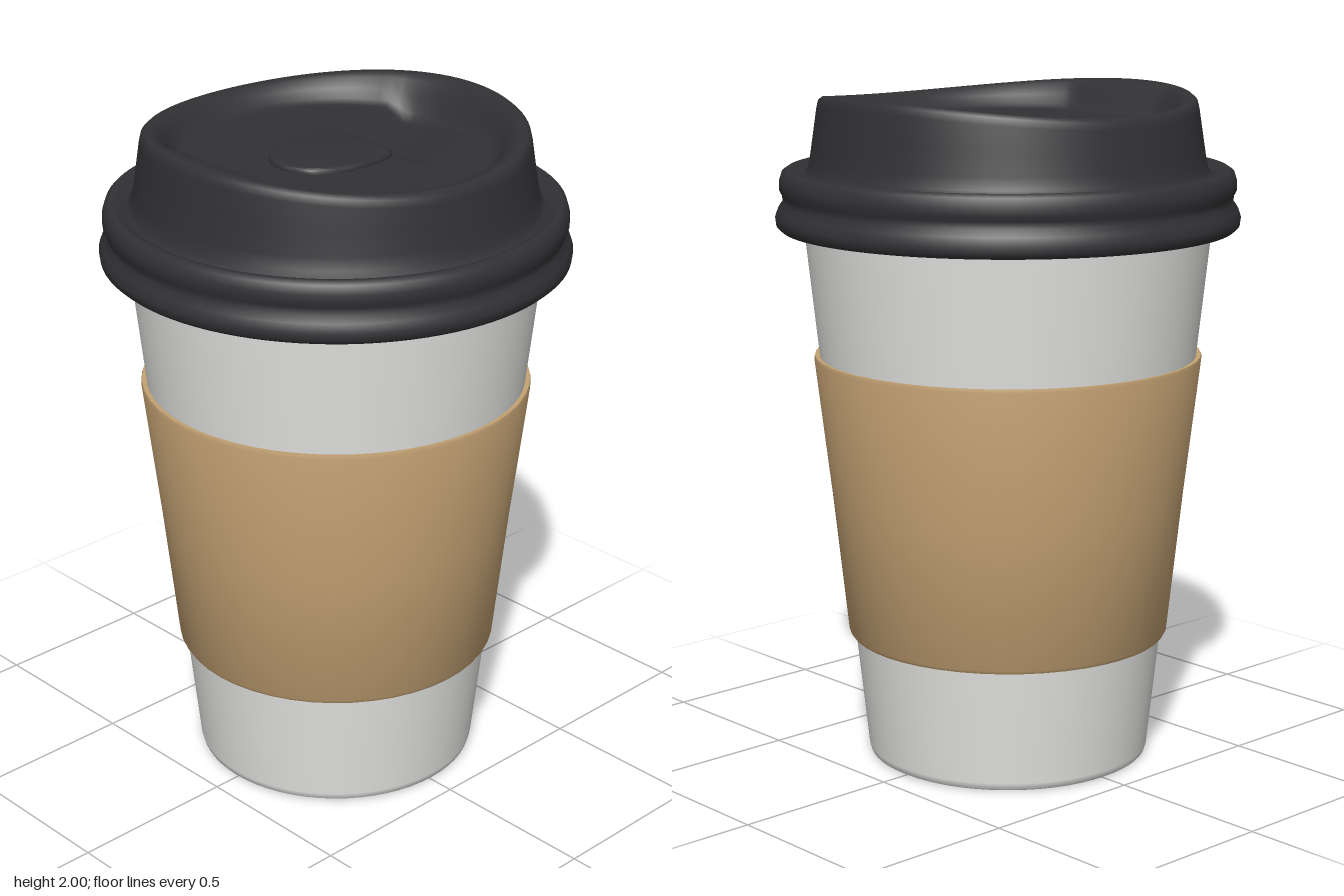
import * as THREE from 'three';
import { mergeVertices, toCreasedNormals } from 'three/addons/utils/BufferGeometryUtils.js';

const paper = new THREE.MeshStandardMaterial({ color: 0xe6e6e4 });
paper.name = 'white paper';
const card = new THREE.MeshStandardMaterial({ color: 0xc6a475 });
card.name = 'tan cardboard';
const plastic = new THREE.MeshStandardMaterial({ color: 0x323235 });
plastic.name = 'dark plastic';

const smooth = THREE.MathUtils.smoothstep;

function lathe(points, segments) {
  return new THREE.LatheGeometry(points.map(([r, y]) => new THREE.Vector2(r, y)), segments);
}

function addMesh(group, name, geometry, material) {
  const mesh = new THREE.Mesh(geometry, material);
  mesh.name = name;
  group.add(mesh);
  return mesh;
}

// Rim of the lid rises towards both x sides
const rimLift = (x) => 0.043 * Math.min(1, (x / 0.54) ** 2);

// Height of the lid's top inside the rim
function lidTop(x, z) {
  const r = Math.hypot(x, z);
  const cos = r > 0 ? x / r : 0;
  // recess is round, with a straight chord on the drinking side (-x)
  const edge = Math.min(0.515, 0.475 / Math.max(0.001, -cos));
  const drop = smooth(edge - r, 0, 0.075);
  // sunken wedge beside the tab, stepping down and ramping back up
  const across = z + 0.06 + 0.33 * x;
  const wedge = 0.035 * smooth(x, 0.09, 0.15) * smooth(across, 0, 0.05) * (1 - smooth(across, 0.08, 0.42));
  const rim = 1.957 + rimLift(x);
  return THREE.MathUtils.lerp(rim, 1.905 - wedge, drop);
}

function lidGeometry() {
  const profile = [
    [0.59, 1.605], [0.665, 1.6], [0.678, 1.612], [0.681, 1.635], [0.672, 1.66], [0.658, 1.68],
    [0.66, 1.7], [0.668, 1.715], [0.668, 1.74], [0.66, 1.765], [0.645, 1.775], [0.625, 1.77],
    [0.61, 1.757], [0.597, 1.757], [0.585, 1.775], [0.577, 1.81], [0.566, 1.87], [0.556, 1.925],
    [0.551, 1.945], [0.54, 1.956],
  ];
  const wallCount = profile.length;
  for (let r = 0.52; r > 0.001; r -= 0.02) profile.push([r, 1.957]);
  profile.push([0, 1.957]);

  const geometry = lathe(profile, 96);
  const p = geometry.attributes.position;
  for (let i = 0; i < p.count; i++) {
    const x = p.getX(i), y = p.getY(i), z = p.getZ(i);
    const inside = i % profile.length >= wallCount;
    p.setY(i, inside ? lidTop(x, z) : y + rimLift(x) * smooth(y, 1.8, 1.945));
  }
  geometry.deleteAttribute('uv');
  geometry.deleteAttribute('normal');
  const welded = mergeVertices(geometry, 1e-4);
  welded.computeVertexNormals();
  return welded;
}

// Low D-shaped tab in the middle of the lid
function tabGeometry() {
  const shape = new THREE.Shape();
  shape.moveTo(0.1, -0.11);
  shape.lineTo(0.1, 0.11);
  shape.bezierCurveTo(0.08, 0.14, 0.02, 0.14, -0.03, 0.14);
  shape.bezierCurveTo(-0.26, 0.13, -0.26, -0.13, -0.03, -0.14);
  shape.bezierCurveTo(0.02, -0.14, 0.08, -0.14, 0.1, -0.11);
  const geometry = new THREE.ExtrudeGeometry(shape, {
    depth: 0.012, bevelEnabled: true, bevelThickness: 0.008, bevelSize: 0.01, bevelSegments: 2, curveSegments: 14,
  });
  geometry.rotateX(-Math.PI / 2);
  return toCreasedNormals(geometry, 0.9);
}

export function createModel() {
  const cup = new THREE.Group();
  cup.name = 'coffeeCup';

  // Tapered wall with a rolled foot
  addMesh(cup, 'cupWall', lathe([
    [0.386, 0.06], [0.389, 0.02], [0.397, 0.005], [0.408, 0], [0.419, 0.006], [0.424, 0.025],
    [0.46, 0.36], [0.51, 0.8], [0.557, 1.22], [0.6, 1.62],
  ], 64), paper);

  // Base set up inside the foot
  const base = addMesh(cup, 'cupBase', new THREE.CircleGeometry(0.388, 64), paper);
  base.rotation.x = Math.PI / 2;
  base.position.y = 0.055;

  // Cardboard sleeve: outer skin, then top and bottom edges closing onto the cup
  const sleeve = toCreasedNormals(lathe([
    [0.455, 0.375], [0.475, 0.375], [0.481, 0.385], [0.525, 0.8],
    [0.574, 1.215], [0.572, 1.225], [0.55, 1.222],
  ], 48), 0.7);
  addMesh(cup, 'sleeve', sleeve, card);

  // Lid with skirt, raised wall and sunken top
  const lid = new THREE.Group();
  lid.name = 'lid';
  addMesh(lid, 'lidShell', lidGeometry(), plastic);
  addMesh(lid, 'lidTab', tabGeometry(), plastic).position.y = 1.9;
  cup.add(lid);

  return cup;
}
